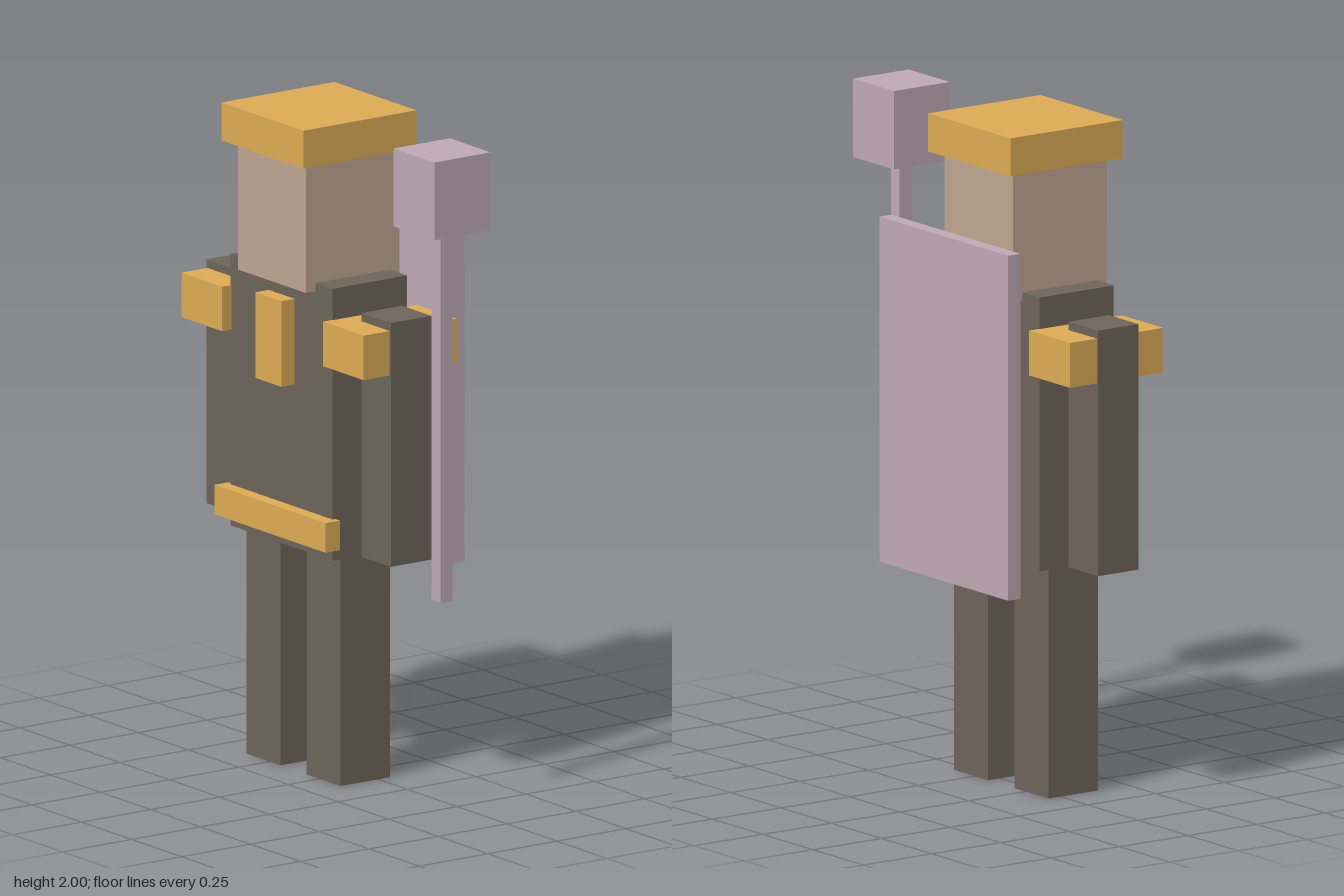
import * as THREE from 'three';

const material = (color) => new THREE.MeshStandardMaterial({ color, flatShading: true });

export function createModel() {
  const model = new THREE.Group();
  model.name = 'blockGuard';

  const cloth = material(0x6e655b);
  const gold = material(0xdeac56);
  const skin = material(0xc0a792);
  const mauve = material(0xc0aab6);

  // The body's middle axis; the staff on its left side shifts it off centre
  const bodyX = -0.13;
  const bodyZ = 0.045;

  // Box placed by its centre x and z and its bottom and top heights
  function block(name, mat, x, z, width, depth, bottom, top) {
    const mesh = new THREE.Mesh(new THREE.BoxGeometry(width, top - bottom, depth), mat);
    mesh.position.set(x, (bottom + top) / 2, z);
    mesh.name = name;
    model.add(mesh);
  }

  // Head, cap and torso
  block('cap', gold, bodyX, bodyZ, 0.41, 0.41, 1.885, 2);
  block('head', skin, bodyX, bodyZ, 0.34, 0.34, 1.495, 1.89);
  block('torso', cloth, bodyX, bodyZ, 0.51, 0.27, 0.695, 1.52);

  // Limbs and shoulder guards, mirrored about the body axis
  for (const [side, s] of [['left', 1], ['right', -1]]) {
    block(side + 'Leg', cloth, bodyX + s * 0.15, bodyZ + 0.002, 0.17, 0.18, 0, 0.7);
    block(side + 'Arm', cloth, bodyX + s * 0.388, bodyZ, 0.147, 0.147, 0.71, 1.45);
    block(side + 'ShoulderGuard', gold, bodyX + s * 0.354, bodyZ - 0.002, 0.204, 0.34, 1.29, 1.425);
  }

  // Trim on the chest and waist
  block('chestPlate', gold, bodyX, 0.203, 0.13, 0.05, 1.19, 1.45);
  block('belt', gold, bodyX, 0.196, 0.555, 0.052, 0.73, 0.82);

  // Cape hanging behind the back
  block('cape', mauve, bodyX, -0.23, 0.64, 0.044, 0.64, 1.68);

  // Staff with a cube head, standing at the left side
  block('staffShaft', mauve, 0.487, bodyZ, 0.044, 0.044, 0.63, 1.765);
  block('staffHead', mauve, 0.487, bodyZ, 0.204, 0.204, 1.76, 1.996);

  return model;
}
